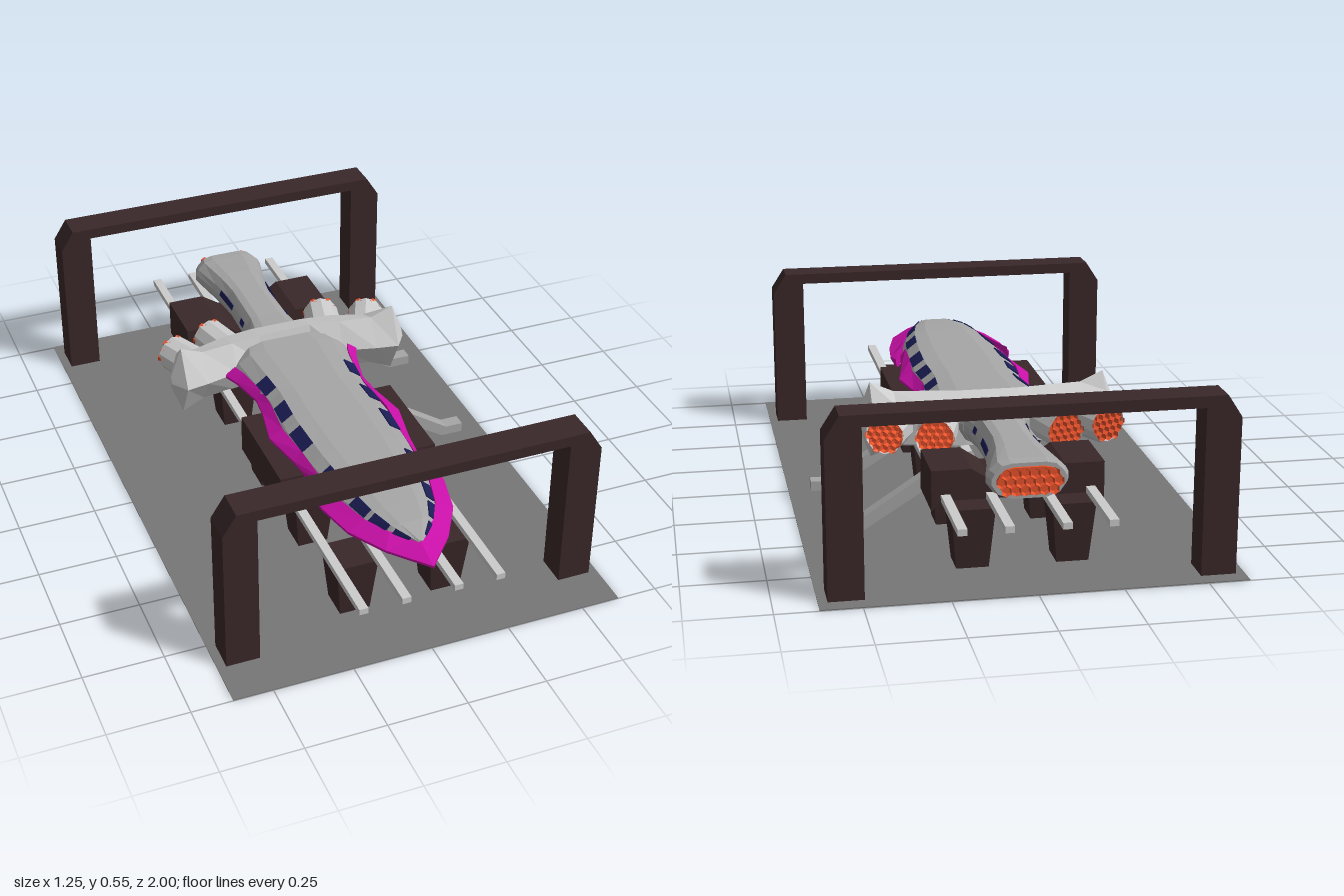
import * as THREE from 'three';

const paint = (color) => new THREE.MeshStandardMaterial({ color, flatShading: true, side: THREE.DoubleSide });
const GREY = paint(0xcccccc), HULL = paint(0xa6a6a6), FLOOR = paint(0x777777), BROWN = paint(0x3a2829);
const MAGENTA = paint(0xc910a8), NAVY = paint(0x1b1d55), ORANGE = paint(0xe8522c);
const MID = 0.295; // height of the ship's waterline

function add(parent, name, geometry, material, x = 0, y = 0, z = 0) {
  const mesh = new THREE.Mesh(geometry, material);
  mesh.name = name;
  mesh.position.set(x, y, z);
  parent.add(mesh);
  return mesh;
}

// Skin closed rings of [x, y, z] corners, cap both ends, and turn all faces outward
function loft(rings) {
  const tris = [], n = rings[0].length;
  for (let i = 0; i < rings.length - 1; i++) {
    for (let j = 0; j < n; j++) {
      const k = (j + 1) % n, a = rings[i], b = rings[i + 1];
      tris.push([a[j], a[k], b[k]], [a[j], b[k], b[j]]);
    }
  }
  const last = rings[rings.length - 1];
  for (let j = 1; j < n - 1; j++) {
    tris.push([rings[0][0], rings[0][j + 1], rings[0][j]], [last[0], last[j], last[j + 1]]);
  }
  const v = (p) => new THREE.Vector3(...p);
  const volume = tris.reduce((s, [a, b, c]) => s + v(a).dot(v(b).cross(v(c))), 0);
  if (volume < 0) tris.forEach((t) => t.reverse());
  const g = new THREE.BufferGeometry();
  g.setAttribute('position', new THREE.Float32BufferAttribute(tris.flat(2), 3));
  g.computeVertexNormals();
  return g;
}

// Extrude an outline in x/y between two z values
function slab(points, z0, z1) {
  const shape = new THREE.Shape(points.map(([x, y]) => new THREE.Vector2(x, y)));
  return new THREE.ExtrudeGeometry(shape, { depth: z1 - z0, bevelEnabled: false }).translate(0, 0, z0);
}

// Mirror a half outline running from the right side inward
const mirrored = (half) => [...half, ...half.map(([x, y]) => [-x, y]).reverse()];

// Half cross-section as fractions of half width and half height
const HALF = [[0.45, 0.98], [0.72, 0.86], [0.92, 0.45], [1, 0.15], [1, -0.2], [0.82, -0.72], [0.45, -1]];
const ringAt = ([z, w, h]) => mirrored(HALF).map(([x, y]) => [x * w, MID + y * h, z]);

// Stations: z, half width, half height
const FRONT_BODY = [[0.89, 0.01, 0.03], [0.82, 0.08, 0.05], [0.74, 0.12, 0.058], [0.62, 0.152, 0.063], [0.43, 0.175, 0.065],
  [0.23, 0.185, 0.065], [0.06, 0.175, 0.065], [-0.18, 0.2, 0.068], [-0.25, 0.17, 0.068], [-0.33, 0.1, 0.064]];
const REAR_BODY = [[-0.3, 0.105, 0.064], [-0.4, 0.085, 0.062], [-0.6, 0.08, 0.061], [-0.7, 0.095, 0.061],
  [-0.82, 0.122, 0.058], [-0.855, 0.11, 0.054]];

function stationAt(stations, z) {
  const i = Math.max(1, stations.findIndex((s) => s[0] <= z));
  const a = stations[i - 1], b = stations[i], t = (a[0] - z) / (a[0] - b[0]);
  return a.map((value, k) => value + (b[k] - value) * t);
}

// Pair of window panels on one facet of the hull
function windows(parent, stations, z0, z1, facet) {
  for (const side of [-1, 1]) {
    const ring = (z, lift) => {
      const [, w, h] = stationAt(stations, z);
      return [HALF[facet], HALF[facet + 1]].map(([x, y]) => [side * (x * w + lift), MID + y * h + lift, z]);
    };
    const rings = [z0, z1].map((z) => [...ring(z, 0.003), ...ring(z, -0.004).reverse()]);
    add(parent, 'window', loft(rings), NAVY);
  }
}

// Coloured fin: wedge sections between inner and outer edge, rows of [xi, zi, xo, zo]
function fin(parent, name, rows) {
  for (const s of [-1, 1]) {
    add(parent, name, loft(rows.map(([xi, zi, xo, zo]) => [
      [s * xi, MID + 0.03, zi], [s * xo, MID + 0.004, zo], [s * xo, MID - 0.004, zo], [s * xi, MID - 0.03, zi],
    ])), MAGENTA);
  }
}

// Engine pointing backwards with a honeycomb of hexagonal nozzles
function engine(x, z, yaw) {
  const g = new THREE.Group();
  g.name = 'engine';
  add(g, 'engineCasing', new THREE.CylinderGeometry(0.06, 0.064, 0.14, 10, 1, true).rotateX(-Math.PI / 2), GREY, 0, 0, 0.05);
  add(g, 'burnerPlate', new THREE.CircleGeometry(0.059, 10).rotateY(Math.PI), ORANGE, 0, 0, -0.008);
  for (let q = -2; q <= 2; q++) {
    for (let r = -2; r <= 2; r++) {
      if (Math.abs(q + r) > 2) continue;
      const nozzle = new THREE.CylinderGeometry(0.014, 0.008, 0.02, 6, 1, true).rotateX(-Math.PI / 2);
      add(g, 'nozzle', nozzle, ORANGE, (q + r / 2) * 0.024, r * 0.021, -0.015);
    }
  }
  g.position.set(x, MID, z);
  g.rotation.y = yaw;
  return g;
}

function createShip() {
  const ship = new THREE.Group();
  ship.name = 'ship';
  add(ship, 'frontHull', loft(FRONT_BODY.map(ringAt)), HULL);
  add(ship, 'rearHull', loft(REAR_BODY.map(ringAt)), HULL);
  for (const [a, b] of [[0.87, 0.83], [0.81, 0.75], [0.73, 0.66], [0.57, 0.49], [0.36, 0.26], [0.19, 0.11], [0.03, -0.04]]) {
    windows(ship, FRONT_BODY, a, b, 1);
  }
  windows(ship, REAR_BODY, -0.42, -0.45, 2);
  windows(ship, REAR_BODY, -0.54, -0.65, 2);

  // Magenta fins around the nose and along the flanks
  fin(ship, 'noseFin', [[0, 0.87, 0, 0.985], [0.07, 0.82, 0.1, 0.87], [0.115, 0.74, 0.17, 0.75],
    [0.145, 0.63, 0.2, 0.62], [0.175, 0.52, 0.212, 0.5], [0.195, 0.46, 0.2, 0.455]]);
  fin(ship, 'sideFin', [[0.16, 0.5, 0.178, 0.5], [0.165, 0.36, 0.195, 0.36], [0.178, 0.22, 0.222, 0.22],
    [0.165, 0.08, 0.195, 0.08], [0.165, 0, 0.188, 0], [0.185, -0.12, 0.215, -0.12], [0.2, -0.17, 0.235, -0.17]]);

  // Crescent wing: x, front z, ridge z, rear z, ridge half height, rear half height
  const span = [[0.413, -0.19, -0.2, -0.21, 0.02, 0.015], [0.375, -0.135, -0.2, -0.255, 0.122, 0.07],
    [0.3, -0.148, -0.205, -0.275, 0.09, 0.062], [0.19, -0.175, -0.22, -0.31, 0.09, 0.062], [0.09, -0.215, -0.235, -0.32, 0.09, 0.064]];
  const wing = [...span, ...span.map(([x, ...rest]) => [-x, ...rest]).reverse()];
  add(ship, 'wing', loft(wing.map(([x, zf, zm, zr, hm, hr]) => [
    [x, MID, zf], [x, MID + hm, zm], [x, MID + hr, zr], [x, MID - hr, zr], [x, MID - hm, zm],
  ])), GREY);

  for (const s of [-1, 1]) {
    ship.add(engine(s * 0.345, -0.355, -s * 0.4), engine(s * 0.2, -0.41, -s * 0.25));
  }

  // Tail burner
  add(ship, 'tailBurner', loft([[-0.82, 0.1, 0.046], [-0.862, 0.095, 0.042]].map(ringAt)), ORANGE);
  for (let row = -1; row <= 1; row++) {
    const count = row ? 6 : 7;
    for (let i = 0; i < count; i++) {
      const cone = new THREE.CylinderGeometry(0.016, 0.009, 0.02, 6, 1, true).rotateX(-Math.PI / 2);
      add(ship, 'tailNozzle', cone, ORANGE, (i - (count - 1) / 2) * 0.028, MID + row * 0.025, -0.865);
    }
  }
  return ship;
}

export function createModel() {
  const model = new THREE.Group();
  model.name = 'launchPad';
  add(model, 'floor', new THREE.BoxGeometry(1.245, 0.003, 2), FLOOR, 0, 0.0015, 0);

  // Gantry arches
  const arch = mirrored([[0.49, 0], [0.595, 0], [0.595, 0.48], [0.552, 0.547]]);
  const inner = mirrored([[0.49, 0], [0.49, 0.512]]);
  const outline = [...arch.slice(1, -1), inner[3], inner[2], inner[1], inner[0]];
  for (const z of [0.76, -0.95]) add(model, 'gantry', slab(outline, z, z + 0.1), BROWN);

  // Rails on tapered piers
  for (const x of [-0.218, -0.083, 0.083, 0.218]) {
    add(model, 'rail', new THREE.BoxGeometry(0.028, 0.02, 1.98), GREY, x, 0.2, 0);
  }
  const square = (x, y, z, r) => [[x - r, y, z - r], [x + r, y, z - r], [x + r, y, z + r], [x - r, y, z + r]];
  for (const z of [0.715, 0.365, 0.025, -0.35, -0.72]) {
    for (const x of [-0.15, 0.15]) {
      add(model, 'pier', loft([square(x, -0.0005, z, 0.048), square(x, 0.19, z, 0.066)]), BROWN);
    }
  }

  // Cradles under the hull
  const cradle = mirrored([[0.23, 0.19], [0.26, 0.16], [0.26, 0.285], [0.14, 0.285], [0.08, 0.245]]);
  for (const [a, b] of [[0.06, 0.42], [-0.7, -0.495]]) add(model, 'cradle', slab(cradle, a, b), BROWN);

  // Boarding ramps on the left side
  const ramp = [[0.09, 0.2], [0.2, 0.175], [0.48, 0], [0.55, 0], [0.55, 0.035], [0.49, 0.035], [0.23, 0.205], [0.09, 0.25]];
  for (const z of [-0.02, -0.475]) add(model, 'ramp', slab(ramp, z, z + 0.045), HULL);

  model.add(createShip());
  return model;
}
